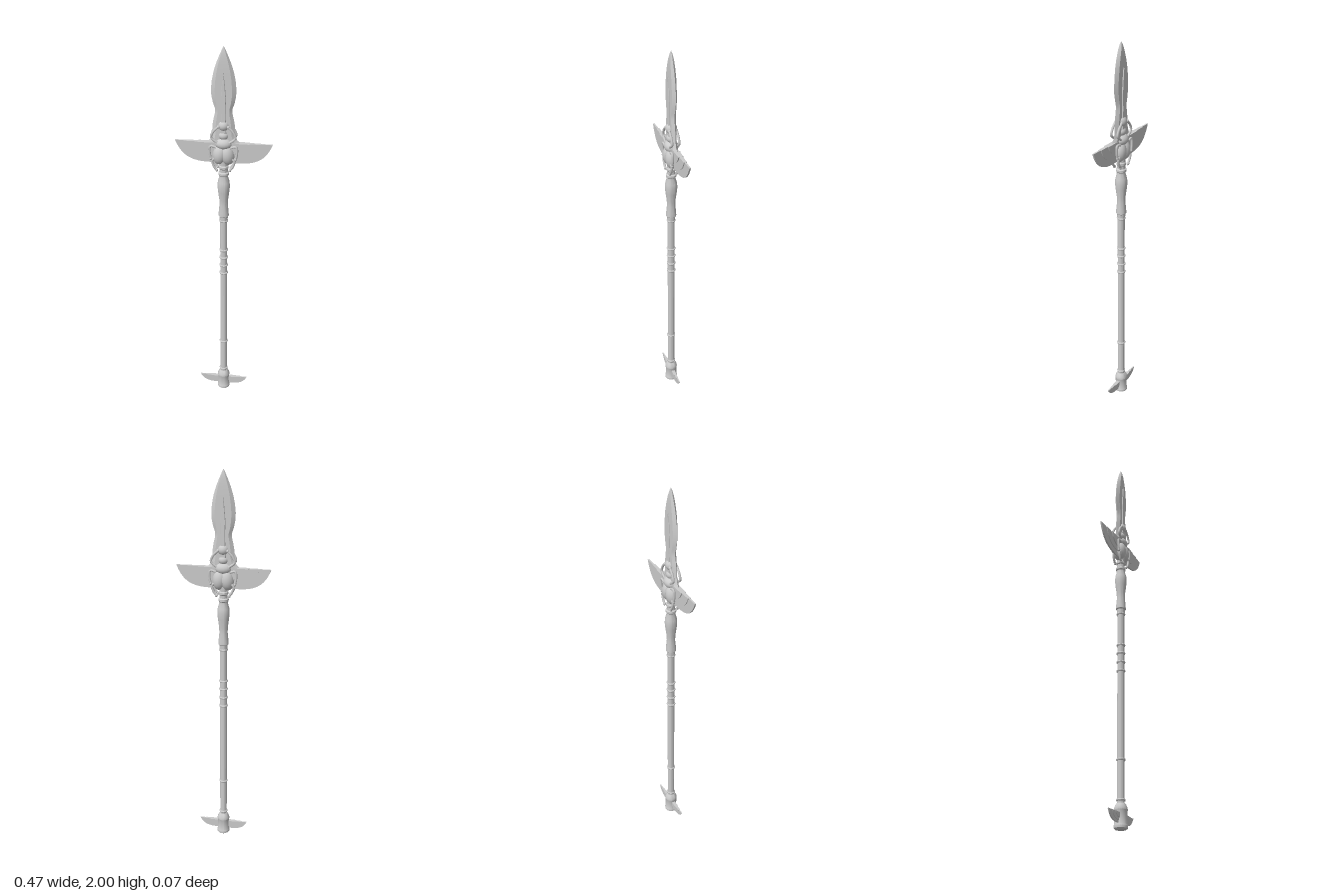
import * as THREE from 'three';
import { toCreasedNormals } from 'three/addons/utils/BufferGeometryUtils.js';

const material = new THREE.MeshStandardMaterial({ color: 0xcccccc });
const V = (x, y, z = 0) => new THREE.Vector3(x, y, z);

export function createModel() {
  const model = new THREE.Group();

  const add = (name, geometry, parent = model) => {
    const mesh = new THREE.Mesh(geometry, material);
    mesh.name = name;
    parent.add(mesh);
    return mesh;
  };
  // Turned part from [radius, y] pairs, bottom to top
  const turned = (name, profile, segments = 20) => add(name, toCreasedNormals(
    new THREE.LatheGeometry(profile.map(([r, y]) => new THREE.Vector2(r, y)), segments), 0.6));
  const ellipsoid = (name, x, y, z, rx, ry, rz, parent) => {
    const mesh = add(name, new THREE.SphereGeometry(1, 18, 12), parent);
    mesh.position.set(x, y, z);
    mesh.scale.set(rx, ry, rz);
    return mesh;
  };

  // Pole, grip and pommel
  turned('shaft', [[0, 0.1], [0.018, 0.1], [0.018, 1.12], [0, 1.12]]);
  turned('grip', [
    [0, 1.1], [0.02, 1.1], [0.021, 1.125], [0.026, 1.13], [0.025, 1.15], [0.021, 1.19],
    [0.022, 1.22], [0.028, 1.265], [0.031, 1.295], [0.029, 1.32], [0.022, 1.345], [0.022, 1.355],
    [0.026, 1.36], [0.026, 1.37], [0.02, 1.375], [0.02, 1.39], [0.024, 1.395], [0.024, 1.405],
    [0.02, 1.41], [0.022, 1.45], [0, 1.45],
  ]);
  turned('pommel', [
    [0, 0], [0.026, 0], [0.033, 0.006], [0.034, 0.018], [0.031, 0.024], [0.031, 0.085],
    [0.033, 0.09], [0.031, 0.102], [0.025, 0.115], [0.02, 0.122], [0, 0.122],
  ]);
  for (const y of [0.137, 0.33, 0.785, 0.832, 0.88, 0.925, 1.1]) {
    turned('shaftRing', [
      [0.017, y - 0.006], [0.021, y - 0.005], [0.023, y], [0.021, y + 0.005], [0.017, y + 0.006],
    ]);
  }

  // Blade: six-sided sections [y, half width, half thickness], bevelled to a sharp edge
  const sections = [
    [1.47, 0.075, 0.012], [1.525, 0.085, 0.012], [1.545, 0.064, 0.012], [1.575, 0.056, 0.012],
    [1.62, 0.053, 0.012], [1.65, 0.048, 0.012], [1.68, 0.041, 0.012], [1.70, 0.041, 0.012],
    [1.73, 0.051, 0.012], [1.765, 0.058, 0.012], [1.80, 0.059, 0.012], [1.84, 0.055, 0.012],
    [1.88, 0.047, 0.012], [1.92, 0.035, 0.011], [1.96, 0.019, 0.009], [1.985, 0.008, 0.005],
    [2.0, 0.0005, 0.0005],
  ];
  const positions = [], indices = [];
  sections.forEach(([y, w, t]) => {
    const f = w * 0.68;
    positions.push(w, y, 0, f, y, -t, -f, y, -t, -w, y, 0, -f, y, t, f, y, t);
  });
  for (let i = 0; i < sections.length - 1; i++) {
    for (let j = 0; j < 6; j++) {
      const a = i * 6 + j, b = i * 6 + (j + 1) % 6;
      indices.push(a, b, b + 6, a, b + 6, a + 6);
    }
  }
  const last = (sections.length - 1) * 6;
  for (let j = 1; j < 5; j++) {
    indices.push(0, j + 1, j, last, last + j, last + j + 1);
  }
  const blade = new THREE.BufferGeometry();
  blade.setAttribute('position', new THREE.Float32BufferAttribute(positions, 3));
  blade.setIndex(indices);
  add('blade', toCreasedNormals(blade, 0.35));

  // Raised midrib standing out on both faces
  const ribShape = new THREE.Shape([
    [-0.014, 1.58], [0.014, 1.58], [0.01, 1.68], [0.012, 1.76], [0.006, 1.83], [0, 1.88],
    [-0.006, 1.83], [-0.012, 1.76], [-0.01, 1.68],
  ].map(([x, y]) => new THREE.Vector2(x, y)));
  const rib = new THREE.ExtrudeGeometry(ribShape, {
    depth: 0.028, bevelEnabled: true, bevelThickness: 0.003, bevelSize: 0.002, bevelOffset: -0.002, bevelSegments: 1,
  });
  rib.translate(0, 0, -0.014);
  add('bladeRib', rib);

  // Stepped wings: each overlapping layer of feathers is shorter and thicker
  const wingLayer = (span, drop, halfDepth) => {
    const s = new THREE.Shape();
    s.moveTo(0, 0);
    s.lineTo(0, -drop);
    s.lineTo(span * 0.3, -drop);
    s.bezierCurveTo(span * 0.72, -drop, span * 0.88, -drop * 0.68, span, 0);
    s.closePath();
    const g = new THREE.ExtrudeGeometry(s, { depth: halfDepth * 2, bevelEnabled: false, curveSegments: 14 });
    return g.translate(0, 0, -halfDepth);
  };
  const wings = (name, y, span, drop, depths) => {
    for (const side of [1, -1]) {
      const wing = new THREE.Group();
      wing.name = (side > 0 ? 'left' : 'right') + name;
      wing.position.y = y;
      if (side < 0) wing.rotation.y = Math.PI;
      [1, 0.76, 0.53].forEach((k, i) =>
        add('featherLayer', wingLayer(span * k, drop * k, depths[i]), wing));
      model.add(wing);
    }
  };
  wings('GuardWing', 1.53, 0.235, 0.106, [0.004, 0.008, 0.013]);
  wings('PommelWing', 0.075, 0.13, 0.048, [0.003, 0.006, 0.009]);

  // Beetle ornament wrapping both faces of the guard
  const beetle = new THREE.Group();
  beetle.name = 'beetle';
  model.add(beetle);
  ellipsoid('thorax', 0, 1.525, 0, 0.043, 0.03, 0.034, beetle);
  ellipsoid('head', 0, 1.567, 0, 0.026, 0.023, 0.024, beetle);
  ellipsoid('orb', 0, 1.618, 0, 0.028, 0.028, 0.028, beetle);
  for (const side of [1, -1]) {
    const shell = ellipsoid('wingCase', side * 0.018, 1.468, 0, 0.036, 0.054, 0.036, beetle);
    shell.rotation.z = side * 0.12;
    for (const face of [1, -1]) {
      const z = face * 0.018;
      const legs = [
        [[0.03, 1.535], [0.058, 1.56], [0.048, 1.59], [0.024, 1.615]],
        [[0.035, 1.51], [0.062, 1.515], [0.066, 1.48], [0.06, 1.45]],
        [[0.035, 1.455], [0.053, 1.44], [0.046, 1.41], [0.032, 1.39]],
      ];
      for (const leg of legs) {
        const curve = new THREE.CatmullRomCurve3(leg.map(([x, y]) => V(side * x, y, z)));
        add('leg', new THREE.TubeGeometry(curve, 12, 0.006, 7), beetle);
        const [x, y] = leg[3];
        ellipsoid('foot', side * x, y, z, 0.007, 0.008, 0.007, beetle);
      }
    }
  }

  return model;
}
